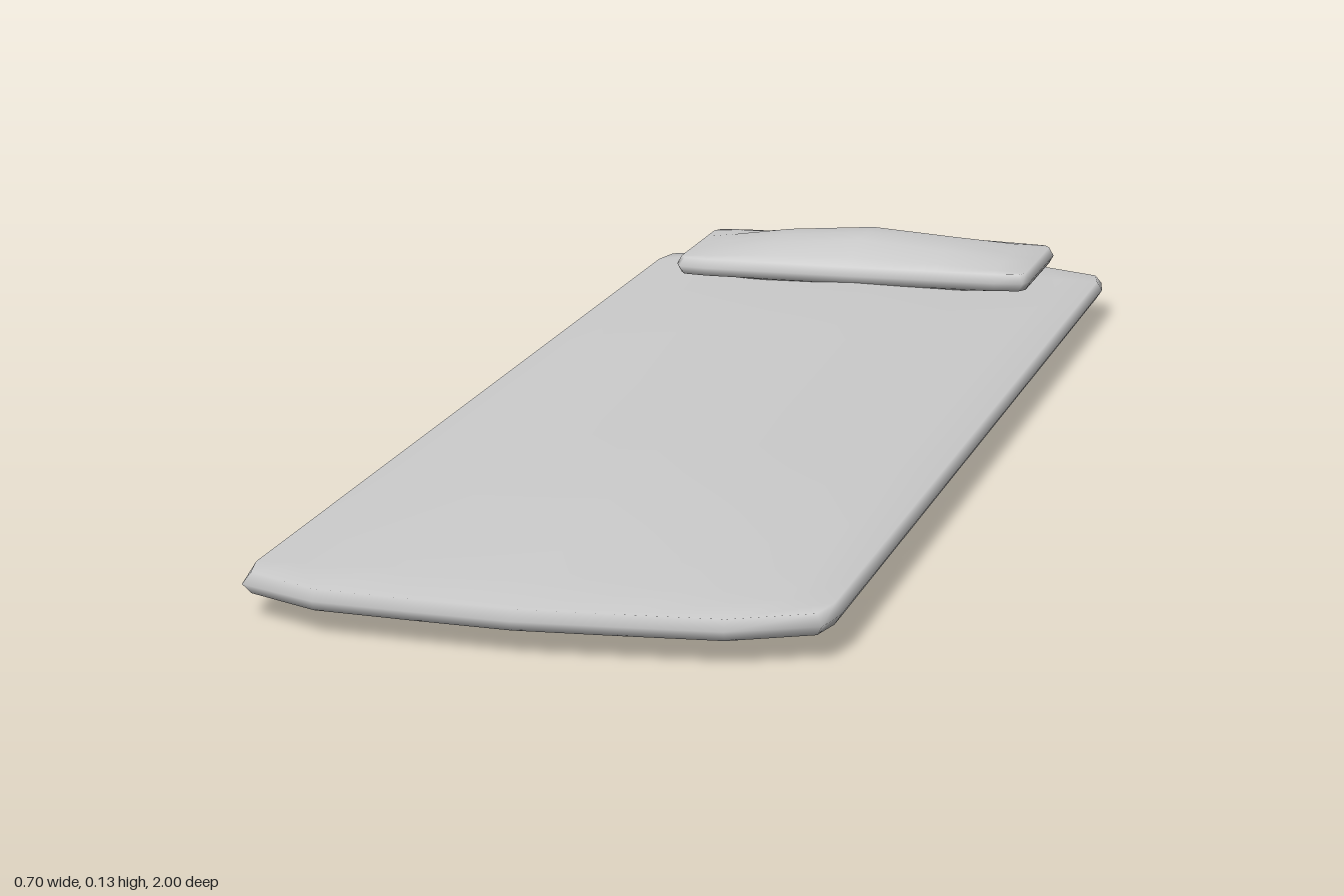
import * as THREE from 'three';
import { mergeVertices } from 'three/addons/utils/BufferGeometryUtils.js';

const material = new THREE.MeshStandardMaterial({ color: 0xcccccc });

// Soft pad: a box grid remapped by half-tables indexed from centre to edge.
// cols/rows: x and z positions, endX/endZ: the rounded end outline,
// crownX/crownZ: how much of the bulge remains towards each edge.
function softPad(name, p) {
  const nc = p.cols.length - 1, nr = p.rows.length;
  const box = new THREE.BoxGeometry(2 * nc, 2, 2 * nr, 2 * nc, 2, 2 * nr);
  box.deleteAttribute('uv');
  box.deleteAttribute('normal');
  const geometry = mergeVertices(box);
  const pos = geometry.attributes.position;
  for (let i = 0; i < pos.count; i++) {
    const cx = Math.round(pos.getX(i)), layer = Math.round(pos.getY(i)), cz = Math.round(pos.getZ(i));
    const c = Math.abs(cx), r = Math.abs(cz);
    const atEnd = r === nr;
    let x = atEnd ? p.endX[c] : p.cols[c];
    let z = atEnd ? p.endZ[c] : p.rows[r];
    // middle layer bulges outward to round the rim
    if (layer === 0) {
      if (c === nc) x += p.bulge;
      if (atEnd) z += p.bulge;
    }
    const y = layer * (p.rim + p.crown * p.crownX[c] * (atEnd ? 0 : p.crownZ[r]));
    pos.setXYZ(i, Math.sign(cx) * x, y, Math.sign(cz) * z);
  }
  geometry.computeVertexNormals();
  const mesh = new THREE.Mesh(geometry, material);
  mesh.name = name;
  return mesh;
}

export function createModel() {
  const group = new THREE.Group();
  group.name = 'loungePad';

  // Long mat with rounded ends
  const mat = softPad('mat', {
    cols: [0, 0.17, 0.29, 0.343],
    rows: [0, 0.3, 0.55, 0.78, 0.88],
    endX: [0, 0.12, 0.24, 0.333],
    endZ: [0.992, 0.983, 0.972, 0.925],
    crownX: [1, 0.68, 0.12, 0],
    crownZ: [1, 1, 0.95, 0.5, 0.22],
    rim: 0.0125, crown: 0.0295, bulge: 0.008
  });
  mat.position.y = 0.045;

  // Head pillow resting on the back end
  const pillow = softPad('pillow', {
    cols: [0, 0.13, 0.22, 0.263],
    rows: [0, 0.05, 0.098],
    endX: [0, 0.13, 0.22, 0.255],
    endZ: [0.12, 0.118, 0.117, 0.111],
    crownX: [1, 0.66, 0.2, 0],
    crownZ: [1, 0.93, 0.35],
    rim: 0.0125, crown: 0.03, bulge: 0.007
  });
  pillow.position.set(0, 0.0875, -0.815);

  group.add(mat, pillow);
  return group;
}
